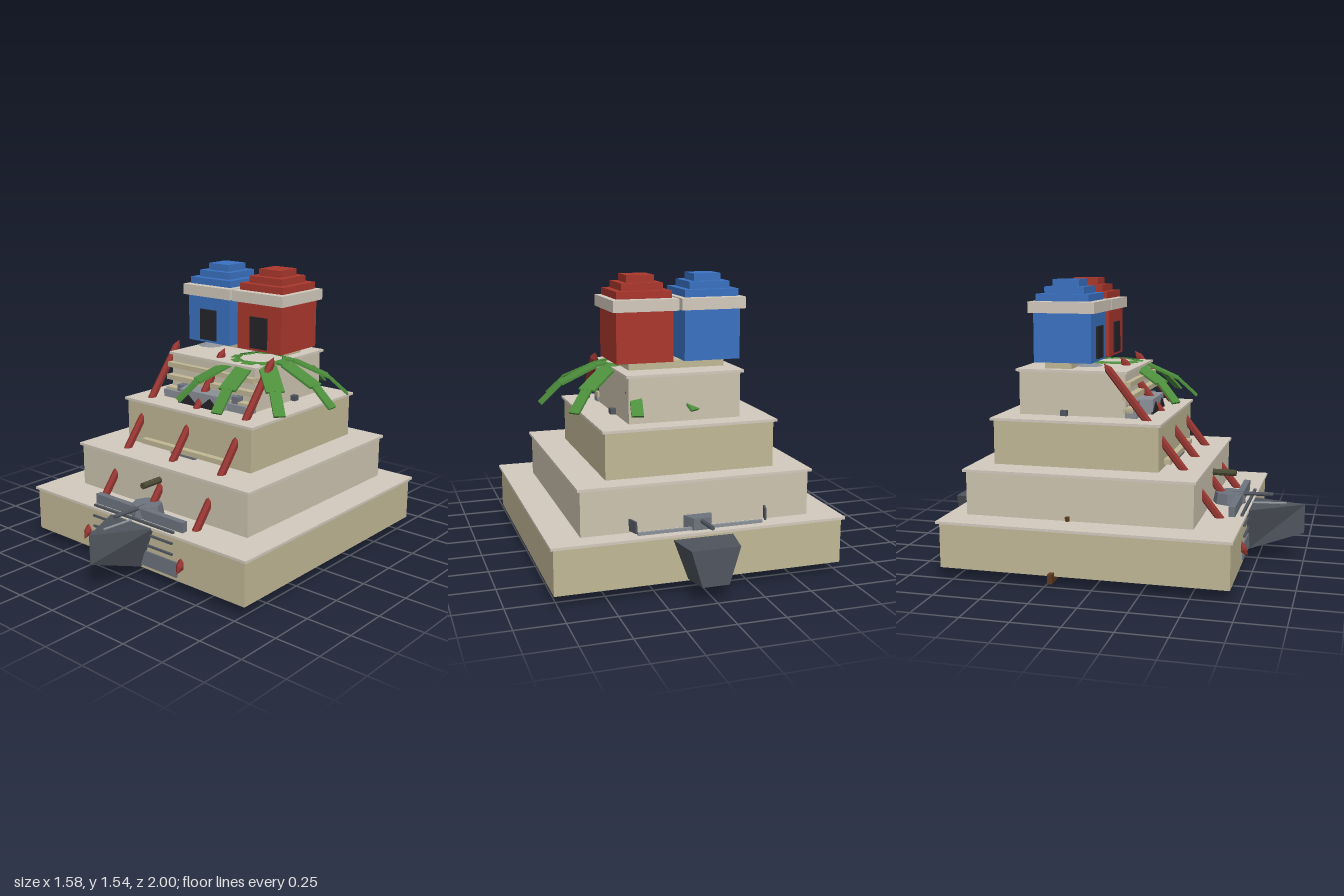
import * as THREE from 'three';

const C = {
  stone: 0xc2b896, pale: 0xcdc4b0, lip: 0xd3cabd, blue: 0x3a72c2, red: 0xab382d, pole: 0x933430,
  leaf: 0x4d8f3c, steel: 0x6e747e, light: 0x8b9098, hull: 0x50555e, dark: 0x25242a, olive: 0x4b4a35, brown: 0x5e3b20,
};
const mats = {};
const mat = (c) => (mats[c] ??= new THREE.MeshStandardMaterial({ color: C[c], flatShading: true, side: THREE.DoubleSide }));

export function createModel() {
  const model = new THREE.Group();
  const CX = 0.01;

  function add(name, geo, color, x = 0, y = 0, z = 0, parent = model) {
    const m = new THREE.Mesh(geo, mat(color));
    m.name = name;
    m.position.set(x, y, z);
    parent.add(m);
    return m;
  }
  // box given by its limits on each axis
  function box(name, color, x0, x1, y0, y1, z0, z1, parent = model) {
    return add(name, new THREE.BoxGeometry(x1 - x0, y1 - y0, z1 - z0), color,
      (x0 + x1) / 2, (y0 + y1) / 2, (z0 + z1) / 2, parent);
  }
  // rod between two points
  function rod(name, color, a, b, r0, r1 = r0, sides = 8) {
    const p = new THREE.Vector3(...a), q = new THREE.Vector3(...b), d = q.clone().sub(p);
    const m = add(name, new THREE.CylinderGeometry(r1, r0, d.length(), sides), color);
    m.position.copy(p).add(q).multiplyScalar(0.5);
    m.quaternion.setFromUnitVectors(new THREE.Vector3(0, 1, 0), d.normalize());
    return m;
  }
  // box whose corners are moved by a rule
  function shaped(name, color, rule) {
    const g = new THREE.BoxGeometry(2, 2, 2), p = g.attributes.position;
    for (let i = 0; i < p.count; i++) p.setXYZ(i, ...rule(p.getX(i), p.getY(i), p.getZ(i)));
    g.computeVertexNormals();
    return add(name, g, color);
  }

  // stepped pyramid: x0, x1, y0, y1, z0, z1, colour
  [
    [-0.75, 0.77, 0.06, 0.31, -0.82, 0.70, 'stone'],
    [-0.595, 0.615, 0.31, 0.557, -0.73, 0.49, 'pale'],
    [-0.44, 0.46, 0.557, 0.81, -0.63, 0.275, 'stone'],
    [-0.29, 0.31, 0.81, 1.06, -0.535, 0.06, 'pale'],
  ].forEach(([x0, x1, y0, y1, z0, z1, c], i) => {
    box('tier' + (i + 1), c, x0, x1, y0, y1 - 0.014, z0, z1);
    box('tierLip' + (i + 1), 'lip', x0 - 0.015, x1 + 0.015, y1 - 0.014, y1, z0 - 0.016, z1 + 0.012);
  });

  // stairway treads along the front slope
  for (const [y, z] of [[0.99, 0.075], [0.92, 0.085], [0.85, 0.09], [0.585, 0.295]])
    box('stairTread', 'stone', -0.3, 0.32, y - 0.014, y + 0.014, z - 0.04, z + 0.016);

  // sloping poles with pointed ends
  const slope = new THREE.Vector3(0, 0.98, -0.77).normalize();
  for (const x of [-0.335, CX, 0.355]) {
    const pole = new THREE.Group();
    pole.name = 'slopingPole';
    pole.position.set(x, 0.61, 0.345);
    pole.quaternion.setFromUnitVectors(new THREE.Vector3(0, 1, 0), slope);
    add('poleShaft', new THREE.CylinderGeometry(0.022, 0.022, 1.18, 6), 'pole', 0, 0, 0, pole);
    add('poleTipTop', new THREE.ConeGeometry(0.022, 0.04, 6), 'pole', 0, 0.61, 0, pole);
    add('poleTipBottom', new THREE.ConeGeometry(0.022, 0.04, 6), 'pole', 0, -0.61, 0, pole).rotation.x = Math.PI;
    model.add(pole);
  }

  // twin cabins with stepped roofs
  for (const [x, c] of [[-0.172, 'blue'], [0.193, 'red']]) {
    const cabin = new THREE.Group();
    cabin.name = c + 'Cabin';
    cabin.position.set(x, 0, -0.278);
    box('cabinWalls', c, -0.152, 0.152, 1.1, 1.365, -0.16, 0.16, cabin);
    box('cabinDoor', 'dark', -0.058, 0.058, 1.115, 1.29, 0.15, 0.171, cabin);
    box('roofSlab', 'lip', -0.174, 0.174, 1.365, 1.425, -0.184, 0.184, cabin);
    [0.147, 0.11, 0.074].forEach((w, i) =>
      box('roofStep', c, -w, w, 1.427 + i * 0.038, 1.465 + i * 0.038, -w, w, cabin));
    model.add(cabin);
  }
  box('cabinFooting', 'stone', -0.25, 0.27, 1.06, 1.1, -0.4, -0.25);
  add('dish', new THREE.ConeGeometry(0.075, 0.025, 10), 'light', -0.195, 1.088, -0.165);

  // drooping leaves around one crown
  const crown = new THREE.Group();
  crown.name = 'leafCrown';
  crown.position.set(0.2, 0, -0.13);
  model.add(crown);
  const bend = [[0.12, 1.062, 0.07], [0.18, 1.052, 0.1], [0.37, 0.965, 0.062], [0.48, 0.865, 0]];
  for (let k = 0; k < 9; k++) {
    const leaf = new THREE.Group();
    leaf.name = 'leaf';
    leaf.rotation.y = -k * Math.PI * 2 / 9;
    for (let i = 0; i < 3; i++) {
      const [r0, y0, w] = bend[i], [r1, y1] = bend[i + 1];
      const part = add('leafSegment', new THREE.BoxGeometry(Math.hypot(r1 - r0, y1 - y0) + 0.006, 0.012, w),
        'leaf', (r0 + r1) / 2, (y0 + y1) / 2, 0, leaf);
      part.rotation.z = Math.atan2(y1 - y0, r1 - r0);
    }
    crown.add(leaf);
  }
  add('leafRing', new THREE.CylinderGeometry(0.135, 0.15, 0.02, 9, 1, true), 'leaf', 0, 1.06, 0, crown);

  // wedge prow and blunt stern
  shaped('prow', 'hull', (x, y, z) => z > 0
    ? [CX + x * 0.003, y > 0 ? 0.32 : 0.16, 1]
    : [CX + x * (y > 0 ? 0.155 : 0.06), y > 0 ? 0.305 : 0.062, 0.7]);
  rod('prowRidge', 'light', [CX, 0.312, 0.71], [CX, 0.32, 0.9], 0.007);
  shaped('stern', 'hull', (x, y, z) => z < 0
    ? [CX + x * (y > 0 ? 0.127 : 0.07), y > 0 ? 0.28 : 0.09, -1]
    : [CX + x * (y > 0 ? 0.158 : 0.08), y > 0 ? 0.28 : 0.068, -0.815]);

  // front armour plates and grille bars
  box('lowerPlate', 'steel', -0.31, 0.33, 0.08, 0.165, 0.69, 0.708);
  for (const y of [0.2, 0.26]) box('grilleBar', 'hull', -0.285, 0.3, y - 0.005, y + 0.005, 0.69, 0.712);
  box('upperPlate', 'steel', -0.31, 0.33, 0.31, 0.365, 0.625, 0.66);
  box('deckBar', 'hull', -0.285, 0.3, 0.31, 0.322, 0.685, 0.7);

  // front turret
  add('frontTurret', new THREE.CylinderGeometry(0.08, 0.092, 0.06, 8), 'steel', CX - 0.005, 0.34, 0.585);
  rod('frontBarrel', 'hull', [CX, 0.36, 0.6], [CX, 0.366, 0.825], 0.011);
  rod('upperBarrel', 'olive', [CX, 0.475, 0.44], [CX, 0.475, 0.62], 0.018);
  box('upperMount', 'steel', -0.08, 0.095, 0.557, 0.595, 0.27, 0.31);

  // rear turret and rail
  shaped('rearTurret', 'steel', (x, y, z) =>
    [CX + x * (z < 0 ? 0.045 : 0.075), y > 0 ? 0.372 : 0.31, z < 0 ? -0.8 : -0.73]);
  rod('rearBarrel', 'hull', [CX, 0.352, -0.76], [CX, 0.366, -0.945], 0.011);
  box('rearRail', 'light', -0.32, 0.34, 0.31, 0.325, -0.79, -0.775);
  for (const s of [-1, 1]) {
    const fin = box('rearFin', 'hull', -0.005, 0.005, 0.325, 0.385, -0.8, -0.74);
    fin.position.x = CX + s * 0.35;
    fin.rotation.y = s * 0.3;
  }

  // gun battery in front of the top tier
  shaped('battery', 'light', (x, y, z) =>
    [CX + x * (z > 0 ? 0.14 : 0.172), y > 0 ? 0.892 : 0.81, z > 0 ? 0.175 : 0.07]);
  for (const s of [-1, 1]) {
    box('batteryWing', 'light', CX + s * 0.235 - 0.075, CX + s * 0.235 + 0.075, 0.81, 0.852, 0.06, 0.125);
    box('batteryPost', 'steel', CX + s * 0.2 - 0.02, CX + s * 0.2 + 0.02, 0.81, 0.89, 0.06, 0.11);
    const port = new THREE.Shape([new THREE.Vector2(-0.075, 0), new THREE.Vector2(0.075, 0), new THREE.Vector2(0, 0.06)]);
    add('batteryPort', new THREE.ExtrudeGeometry(port, { depth: 0.012, bevelEnabled: false }), 'dark', CX + s * 0.08, 0.812, 0.168);
    box('sidePort', 'hull', CX + s * 0.31 - 0.02, CX + s * 0.31 + 0.02, 0.812, 0.842, -0.295, -0.26);
  }

  // underside fittings and side pegs
  box('bellyPlate', 'hull', -0.31, 0.33, 0.054, 0.062, 0.2, 0.66);
  rod('bellyBeam', 'brown', [-0.7, 0.057, -0.21], [0.1, 0.057, -0.21], 0.008);
  box('sideBeamEnd', 'brown', -0.79, -0.69, 0.03, 0.08, -0.222, -0.198);
  box('sidePeg', 'brown', -0.615, -0.58, 0.312, 0.335, -0.18, -0.16);
  rod('bellyPod', 'olive', [CX, 0.07, -0.16], [CX, 0.002, -0.165], 0.055, 0.015, 6);
  for (const x of [-0.09, 0.1]) rod('bellyStud', 'olive', [x, 0.07, -0.02], [x, 0.035, -0.03], 0.04, 0.02, 6);

  return model;
}
